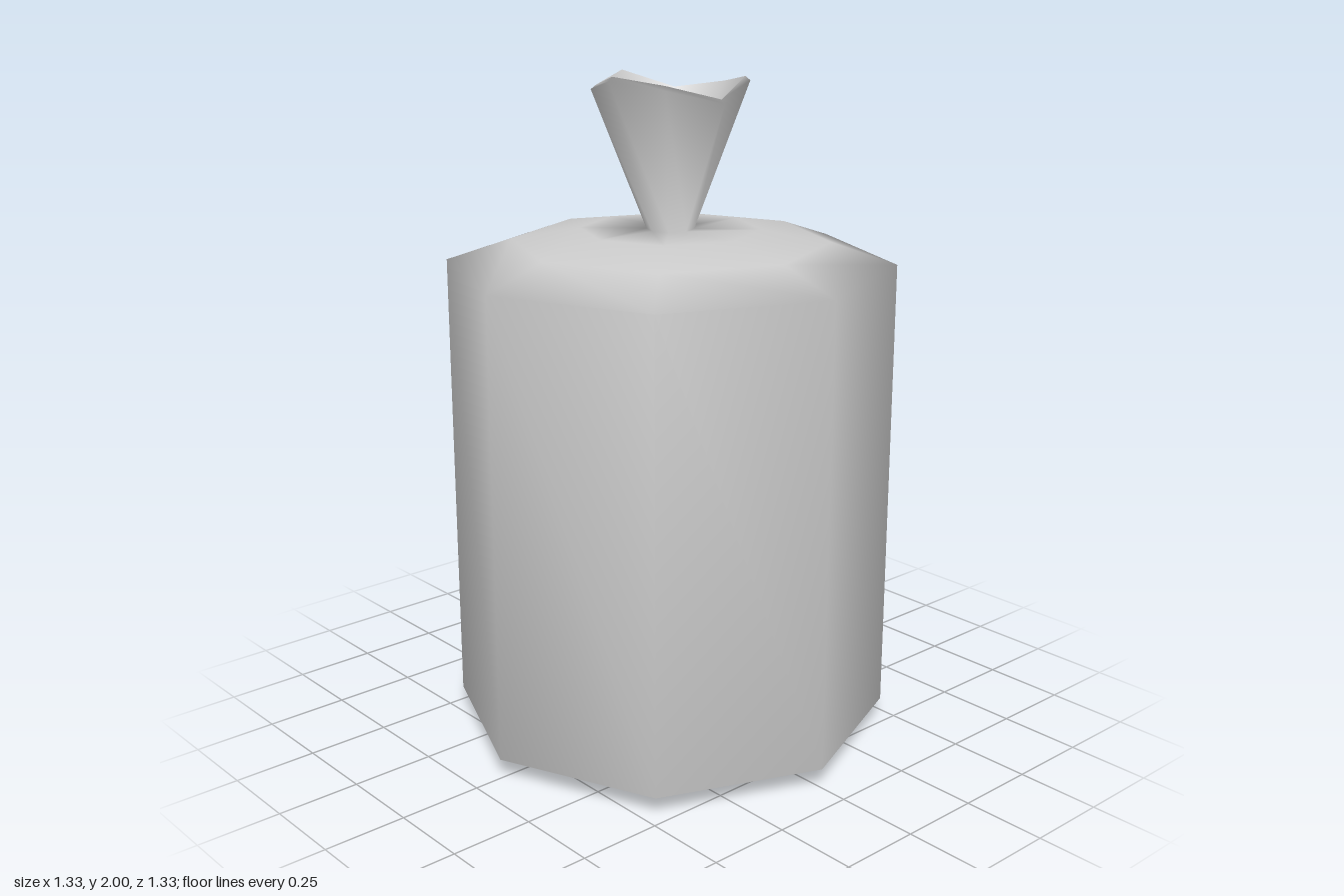
import * as THREE from 'three';
import { mergeVertices } from 'three/addons/utils/BufferGeometryUtils.js';

const SIDES = 8;

// Radius and height, from the underside up over the shoulder and neck, then down inside the neck
const PROFILE = [
  [0, 0], [0.45, 0], [0.663, 0.06], [0.663, 1.45],
  [0.47, 1.515], [0.265, 1.55], [0.07, 1.55],
  [0.228, 1.95], [0.214, 1.962], [0, 1.62],
];

// Uneven height of the gathered rim, starting at the front and turning to the left
const RIM_WAVE = [-0.022, 0.028, 0, -0.025, 0.03, 0, 0.038, 0.02];

function createSackGeometry() {
  const points = PROFILE.map(([r, y]) => new THREE.Vector2(r, y));
  const lathe = new THREE.LatheGeometry(points, SIDES);
  const pos = lathe.attributes.position;

  // Ripple the mouth of the neck
  for (let i = 0; i < pos.count; i++) {
    if (pos.getY(i) < 1.9) continue;
    const side = Math.floor(i / PROFILE.length) % SIDES;
    pos.setY(i, pos.getY(i) + RIM_WAVE[side]);
  }

  // Weld the seam and smooth the whole surface
  lathe.deleteAttribute('uv');
  lathe.deleteAttribute('normal');
  const geometry = mergeVertices(lathe, 1e-4);
  geometry.computeVertexNormals();
  return geometry;
}

export function createModel() {
  const group = new THREE.Group();
  group.name = 'tiedSack';

  // Body, tied neck and flared mouth are one continuous cloth surface
  const sack = new THREE.Mesh(
    createSackGeometry(),
    new THREE.MeshStandardMaterial({ color: 0xcccccc }),
  );
  sack.name = 'sack';
  group.add(sack);

  return group;
}
